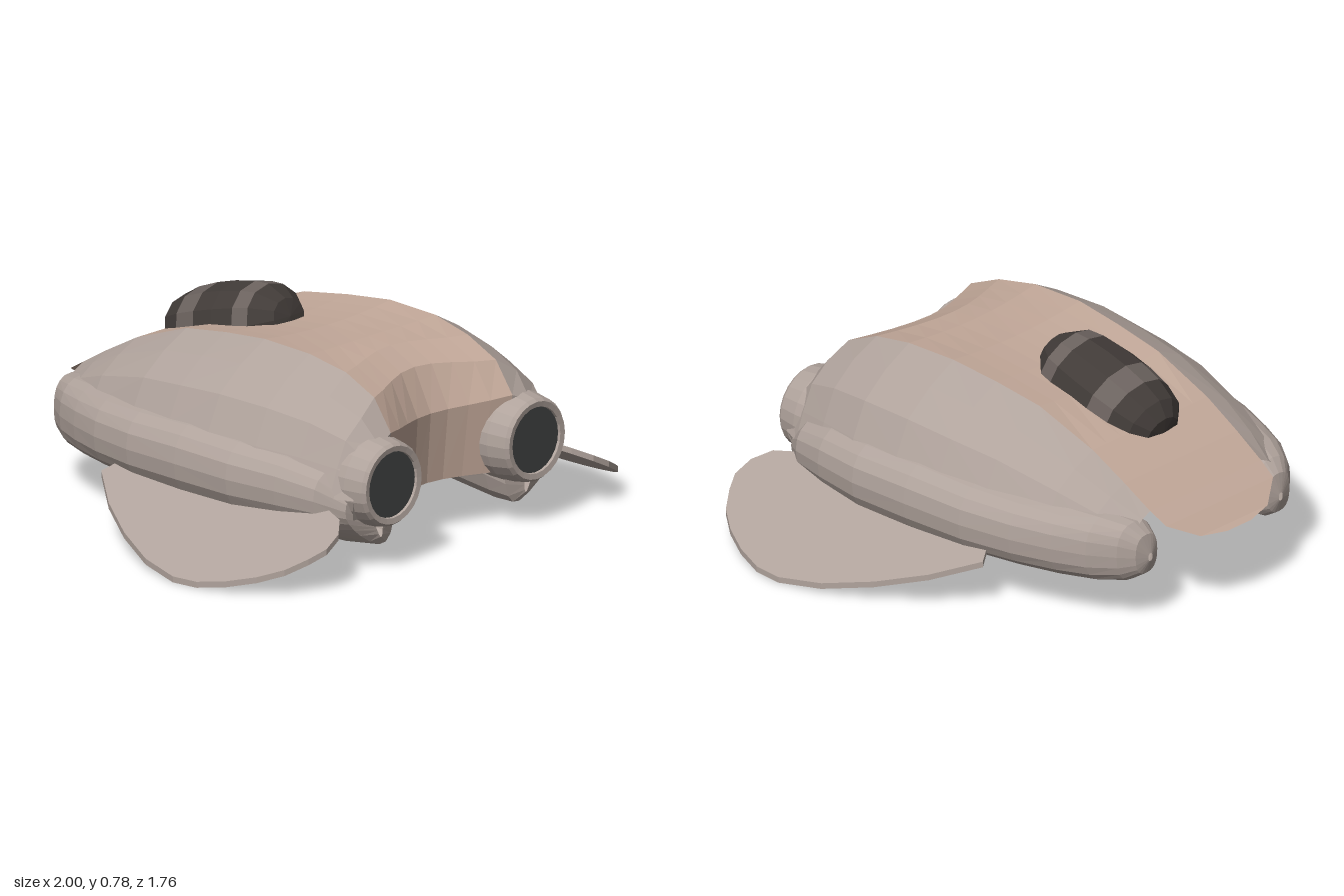
import * as THREE from 'three';

const mat = (color) => new THREE.MeshStandardMaterial({ color, flatShading: true, side: THREE.DoubleSide });
const plateMat = mat(0xc2a899), sideMat = mat(0xb0a39c), darkMat = mat(0x413b38), bandMat = mat(0x6b625e), discMat = mat(0x404242);

function addMesh(parent, name, geometry, material) {
  const mesh = new THREE.Mesh(geometry, material);
  mesh.name = name;
  parent.add(mesh);
  return mesh;
}

// Skin a surface over rows of [x, y, z] points
function loft(rows) {
  const n = rows[0].length, index = [];
  for (let i = 0; i < rows.length - 1; i++) {
    for (let j = 0; j < n - 1; j++) {
      const a = i * n + j, b = a + n;
      index.push(a, b, a + 1, b, b + 1, a + 1);
    }
  }
  const g = new THREE.BufferGeometry();
  g.setAttribute('position', new THREE.Float32BufferAttribute(rows.flat(2), 3));
  g.setIndex(index);
  g.computeVertexNormals();
  return g;
}

// Solid of revolution about z, from [radius, z] pairs
const latheZ = (pairs, sides) =>
  new THREE.LatheGeometry(pairs.map(([r, z]) => new THREE.Vector2(r, z)), sides).rotateX(Math.PI / 2);

// Hull stations: z, top height, half width of centre plate, outer half width
const STATIONS = [
  [-0.72, 0.41, 0.28, 0.4], [-0.6, 0.48, 0.285, 0.5], [-0.45, 0.56, 0.29, 0.57],
  [-0.2, 0.65, 0.3, 0.64], [0, 0.68, 0.31, 0.67], [0.2, 0.7, 0.32, 0.68],
  [0.42, 0.69, 0.32, 0.665], [0.6, 0.65, 0.31, 0.62], [0.74, 0.585, 0.31, 0.57],
  [0.82, 0.48, 0.31, 0.53], [0.8, 0.2, 0.29, 0.51],
];
const NOSE = [[-0.885, 0.31, 0.06], [-0.86, 0.32, 0.17], [-0.79, 0.37, 0.27]];

// Hollow in the middle of the tail
const notch = (x, z) =>
  THREE.MathUtils.smoothstep(z, 0.3, 0.72) * Math.cos(Math.min(Math.abs(x) / 0.42, 1) * Math.PI / 2) ** 2;

function centrePlate() {
  return loft([...NOSE, ...STATIONS].map(([z, y, w]) =>
    [-1, -0.75, -0.5, -0.25, 0, 0.25, 0.5, 0.75, 1].map((s) => {
      const x = s * w, k = notch(x, z);
      const dip = z > -0.3 && y > 0.3 ? 0.02 * (1 - s * s) : 0;
      return [x, y - dip + (y > 0.5 ? 0.05 * k : 0), z - 0.12 * k];
    })));
}

function sidePanel() {
  const steps = [[0, 1], [0.33, 0.85], [0.64, 0.64], [0.81, 0.33], [0.96, 0]];
  return loft(STATIONS.map(([z, y, w, o]) => steps.map(([t, h]) => {
    const x = w + (o - w) * t;
    const low = Math.min(y, 0.28);
    return [x, low + (y - low) * h + (y > 0.5 ? 0.05 * notch(x, z) : 0), z - 0.12 * notch(x, z)];
  })));
}

// Pod stations: z, inner x, outer x, bottom, top, extra drop of the inner keel
function sidePod() {
  const stations = [
    [-0.77, 0.32, 0.34, 0.25, 0.28, 0], [-0.755, 0.28, 0.39, 0.2, 0.35, 0], [-0.71, 0.26, 0.44, 0.17, 0.39, 0],
    [-0.62, 0.26, 0.505, 0.155, 0.41, 0], [-0.5, 0.26, 0.56, 0.15, 0.42, 0], [-0.35, 0.265, 0.615, 0.15, 0.43, 0],
    [-0.15, 0.27, 0.66, 0.15, 0.44, 0.01], [0.1, 0.27, 0.68, 0.15, 0.45, 0.03], [0.35, 0.27, 0.68, 0.15, 0.44, 0.06],
    [0.55, 0.27, 0.645, 0.155, 0.42, 0.085], [0.7, 0.27, 0.6, 0.16, 0.38, 0.1], [0.79, 0.28, 0.53, 0.17, 0.3, 0.1],
    [0.81, 0.36, 0.4, 0.16, 0.18, 0.05],
  ];
  const soft = (v) => Math.sign(v) * Math.abs(v) ** 0.8;
  return loft(stations.map(([z, x0, x1, y0, y1, drop]) =>
    Array.from({ length: 21 }, (_, i) => {
      const a = i / 20 * Math.PI * 2, c = soft(Math.cos(a)), s = soft(Math.sin(a));
      const keel = drop * Math.max(0, -s) * (1 - c) / 2 * 1.4;
      return [(x0 + x1) / 2 + c * (x1 - x0) / 2, (y0 + y1) / 2 + s * (y1 - y0) / 2 - keel, z];
    })));
}

// Drooping fin cut from a plan outline
function fin() {
  const outline = [[0.54, -0.2], [0.66, -0.27], [0.78, -0.12], [0.88, 0.05], [0.96, 0.23], [1, 0.4], [0.995, 0.51],
    [0.96, 0.62], [0.91, 0.72], [0.85, 0.8], [0.78, 0.85], [0.72, 0.88], [0.65, 0.87], [0.59, 0.82], [0.55, 0.7]];
  const shape = new THREE.Shape(outline.map((p) => new THREE.Vector2(...p)));
  const g = new THREE.ExtrudeGeometry(shape, { depth: 0.022, bevelEnabled: false }).rotateX(Math.PI / 2);
  const p = g.attributes.position;
  for (let i = 0; i < p.count; i++) p.setY(i, p.getY(i) + 0.022 + (1 - p.getX(i)) * 0.5);
  g.computeVertexNormals();
  return g;
}

function canopy() {
  const group = new THREE.Group();
  group.name = 'canopy';
  const rings = [[0, -1], [0.45, -0.97], [0.78, -0.8], [0.94, -0.5], [1, -0.16], [1, 0.16],
    [0.94, 0.5], [0.84, 0.72], [0.45, 0.97], [0, 1]];
  // Two paler bands cross the dark dome
  for (let i = 0; i < rings.length - 1; i++) {
    const band = i === 3 || i === 6;
    addMesh(group, band ? 'canopyBand' : 'canopyGlass', latheZ([rings[i], rings[i + 1]], 12), band ? bandMat : darkMat);
  }
  group.scale.set(0.17, 0.145, 0.28);
  group.rotation.x = -0.28;
  group.position.set(-0.02, 0.605, -0.23);
  return group;
}

function engine() {
  const group = new THREE.Group();
  group.name = 'engine';
  addMesh(group, 'nozzle', latheZ([[0.11, 0.45], [0.15, 0.6], [0.165, 0.72], [0.165, 0.78],
    [0.152, 0.855], [0.142, 0.868], [0.122, 0.865], [0.118, 0.84]], 24), sideMat);
  addMesh(group, 'nozzleDisc', new THREE.CircleGeometry(0.122, 24), discMat).position.z = 0.855;
  group.position.set(0.365, 0.315, 0);
  return group;
}

export function createModel() {
  const model = new THREE.Group();
  model.name = 'spacecraft';
  addMesh(model, 'centrePlate', centrePlate(), plateMat);
  model.add(canopy());

  // Mirrored halves
  for (const side of [1, -1]) {
    const half = new THREE.Group();
    half.name = side > 0 ? 'leftSide' : 'rightSide';
    addMesh(half, 'sidePanel', sidePanel(), sideMat);
    addMesh(half, 'sidePod', sidePod(), sideMat);
    addMesh(half, 'fin', fin(), sideMat);
    half.add(engine());
    half.scale.x = side;
    model.add(half);
  }
  return model;
}
